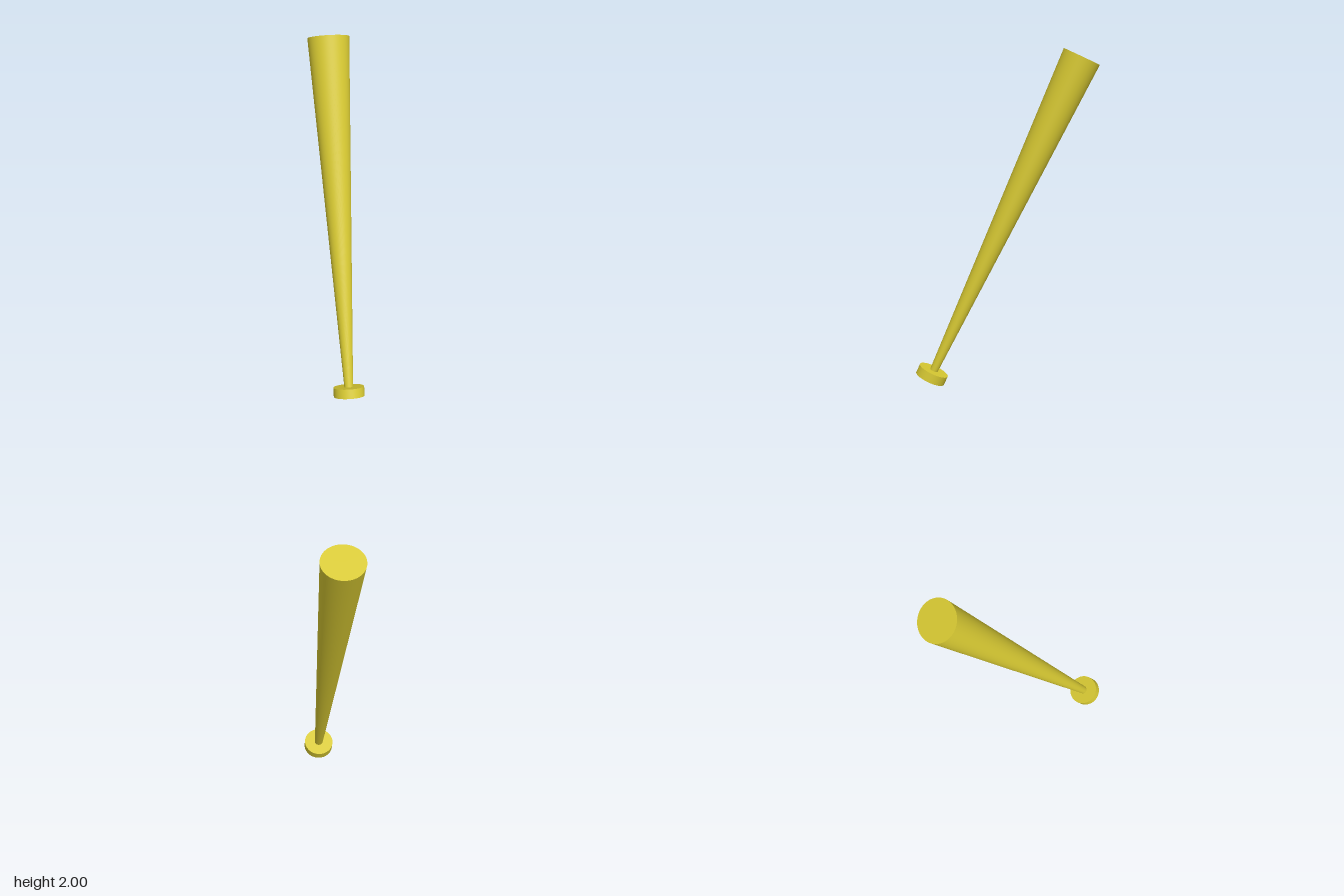
import * as THREE from 'three';

export function createModel() {
  const model = new THREE.Group();
  const material = new THREE.MeshStandardMaterial({ color: 0xd6c832 });

  const knobHeight = 0.056;
  const length = 2.115;

  // Everything is built upright, then leaned backwards about the knob
  const bat = new THREE.Group();
  bat.name = 'bat';
  bat.rotation.x = -THREE.MathUtils.degToRad(25.3);
  bat.position.set(0, 0.039, 0.462);
  model.add(bat);

  // Disc at the end of the grip
  const knob = new THREE.Mesh(new THREE.CylinderGeometry(0.0915, 0.0915, knobHeight, 64), material);
  knob.name = 'knob';
  knob.position.y = knobHeight / 2;
  bat.add(knob);

  // Tapered shaft, slightly oval in section
  const shaftLength = length - knobHeight;
  const shaftGeometry = new THREE.CylinderGeometry(0.123, 0.026, shaftLength, 64);
  shaftGeometry.scale(1, 1, 0.927);
  const shaft = new THREE.Mesh(shaftGeometry, material);
  shaft.name = 'taperedShaft';
  shaft.position.y = knobHeight + shaftLength / 2;
  bat.add(shaft);

  return model;
}
